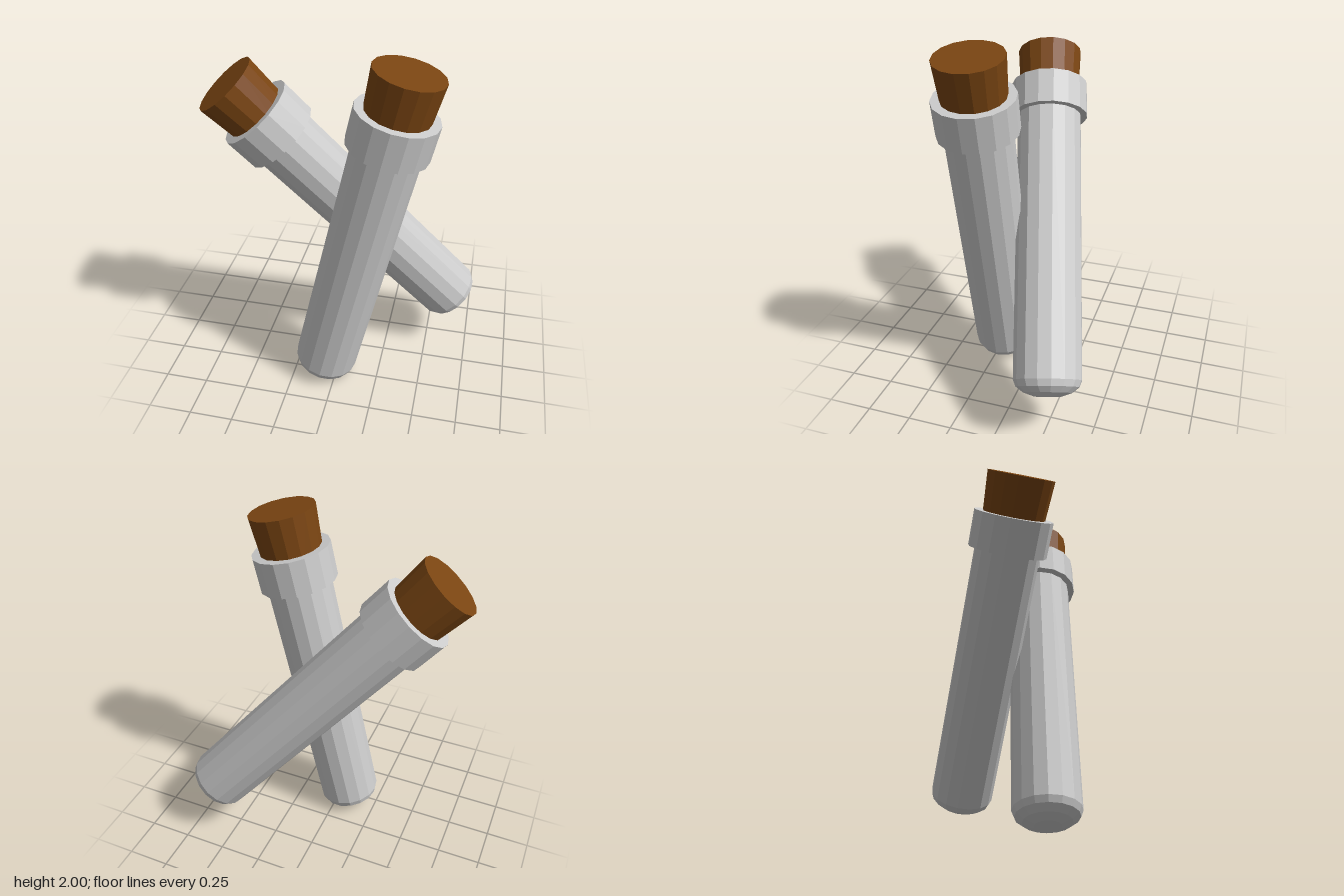
import * as THREE from 'three';

const SIDES = 16;
const RADIUS = 0.183;
const DOME = 0.085; // height of the rounded foot

const grey = new THREE.MeshStandardMaterial({ color: 0xcccccc, flatShading: true });
const brown = new THREE.MeshStandardMaterial({ color: 0x7a4512, flatShading: true });

function lathe(name, profile, material) {
  const points = profile.map(([r, y]) => new THREE.Vector2(r, y));
  const mesh = new THREE.Mesh(new THREE.LatheGeometry(points, SIDES), material);
  mesh.name = name;
  return mesh;
}

// One corked test tube, its foot at the origin and its axis along +y
function testTube(name) {
  const tube = new THREE.Group();
  tube.name = name;

  // Body: flattened dome with a small flat end, then a straight wall
  const body = [[0, 0]];
  for (let i = 1; i <= 4; i++) {
    const a = (i * Math.PI) / 8;
    body.push([RADIUS * Math.sin(a), DOME - 0.092 * Math.cos(a)]);
  }
  body.push([RADIUS, 1.6]);
  tube.add(lathe('tubeBody', body, grey));

  // Thick collar around the mouth
  tube.add(lathe('rim', [[0.17, 1.577], [0.22, 1.577], [0.22, 1.775], [0.165, 1.775], [0.165, 1.7]], grey));

  // Cork, slightly wider at the top
  const cork = new THREE.Mesh(new THREE.CylinderGeometry(0.185, 0.168, 0.29, SIDES), brown);
  cork.name = 'cork';
  cork.position.y = 1.99 - 0.145;
  tube.add(cork);
  return tube;
}

// Lay a tube along the line from its foot to the top of its cork
function place(tube, foot, top) {
  const a = new THREE.Vector3(...foot);
  const dir = new THREE.Vector3(...top).sub(a).normalize();
  tube.position.copy(a);
  tube.quaternion.setFromUnitVectors(new THREE.Vector3(0, 1, 0), dir);
  return tube;
}

export function createModel() {
  const model = new THREE.Group();
  model.name = 'corkedTestTubes';
  model.add(place(testTube('frontTube'), [-0.085, 0.02, 0.222], [0.355, 1.96, 0.222]));
  model.add(place(testTube('backTube'), [0.66, 0.288, -0.278], [-0.607, 1.778, 0.107]));
  return model;
}
